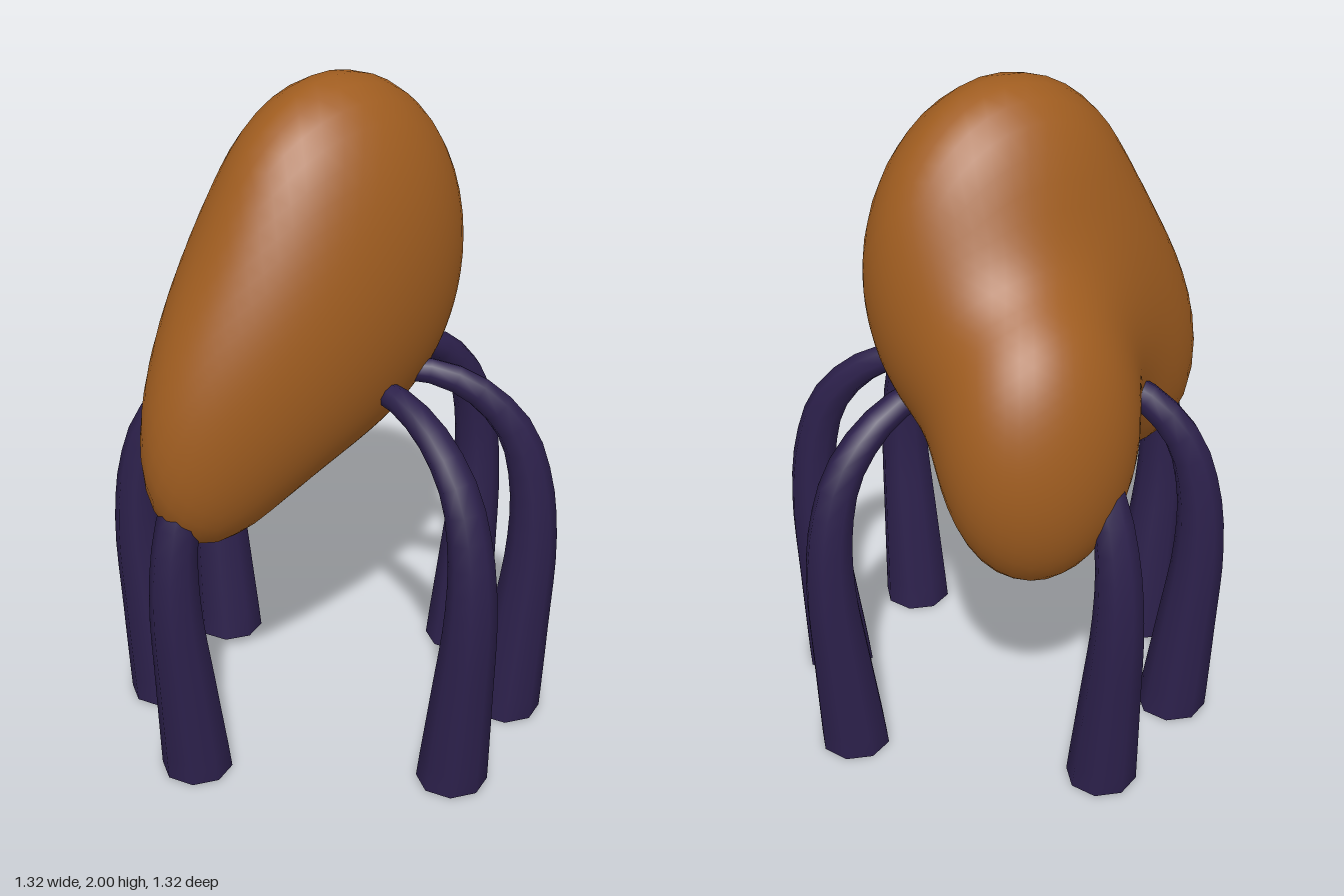
import * as THREE from 'three';
import { mergeVertices } from 'three/addons/utils/BufferGeometryUtils.js';

const V = (x, y, z) => new THREE.Vector3(x, y, z);

// Ellipsoids that melt together into the body: centre, radii, tilt about z
const lobes = [
  { c: V(0, 1.475, 0), r: V(0.415, 0.525, 0.28), tilt: 0 },
  { c: V(-0.385, 1.085, -0.01), r: V(0.245, 0.355, 0.175), tilt: -0.3 },
  { c: V(0.135, 1.08, -0.385), r: V(0.268, 0.38, 0.213), tilt: 0 },
];

function lobeDistance(p, { c, r, tilt }) {
  const q = p.clone().sub(c).applyAxisAngle(V(0, 0, 1), -tilt).divide(r);
  const k = q.length();
  return k * (k - 1) / Math.max(q.divide(r).length(), 1e-6);
}

// Smooth union of all lobes
function bodyDistance(p) {
  const blend = 0.36;
  return lobes.map(l => lobeDistance(p, l)).reduce((a, b) => {
    const h = Math.max(blend - Math.abs(a - b), 0) / blend;
    return Math.min(a, b) - h * h * blend / 4;
  });
}

function smooth(geometry) {
  geometry.deleteAttribute('uv');
  geometry.deleteAttribute('normal');
  const merged = mergeVertices(geometry, 1e-4);
  merged.computeVertexNormals();
  return merged;
}

// Sphere whose vertices are pulled onto the blended surface
function bodyGeometry() {
  const geo = new THREE.IcosahedronGeometry(1, 14);
  const pos = geo.attributes.position;
  const centre = V(-0.04, 1.2, -0.1);
  const dir = V(0, 0, 0), p = V(0, 0, 0);
  const at = t => bodyDistance(p.copy(dir).multiplyScalar(t).add(centre));
  for (let i = 0; i < pos.count; i++) {
    dir.fromBufferAttribute(pos, i).normalize();
    let hi = 1.1;
    while (hi > 0.04 && at(hi - 0.02) > 0) hi -= 0.02;
    let lo = hi - 0.02;
    for (let n = 0; n < 14; n++) {
      const mid = (lo + hi) / 2;
      if (at(mid) > 0) hi = mid; else lo = mid;
    }
    at(hi);
    pos.setXYZ(i, p.x, p.y, p.z);
  }
  return smooth(geo);
}

// Tapered eight-sided tube, arching outward and then down to the ground
function legGeometry() {
  const path = new THREE.CatmullRomCurve3([
    V(0.2, 1.14, 0), V(0.3, 1.13, 0), V(0.42, 1.07, 0), V(0.525, 0.95, 0),
    V(0.575, 0.78, 0), V(0.585, 0.58, 0), V(0.56, 0.3, 0), V(0.53, 0, 0),
  ]);
  const rings = 18, sides = 8;
  const geo = new THREE.TubeGeometry(path, rings, 1, sides);
  const pos = geo.attributes.position, v = V(0, 0, 0);
  for (let i = 0; i <= rings; i++) {
    const centre = path.getPointAt(i / rings);
    const radius = 0.034 + 0.07 * i / rings;
    for (let j = 0; j <= sides; j++) {
      const n = i * (sides + 1) + j;
      v.fromBufferAttribute(pos, n).sub(centre).multiplyScalar(radius).add(centre);
      pos.setXYZ(n, v.x, i === rings ? 0 : v.y, v.z);
    }
  }
  return smooth(geo);
}

export function createModel() {
  const model = new THREE.Group();
  model.name = 'leggedCreature';
  const skin = new THREE.MeshStandardMaterial({ color: 0xa05d20 });
  skin.name = 'orange brown skin';
  const legSkin = new THREE.MeshStandardMaterial({ color: 0x2c204b });
  legSkin.name = 'dark purple';

  const add = (parent, name, geo, mat) => {
    const mesh = new THREE.Mesh(geo, mat);
    mesh.name = name;
    parent.add(mesh);
    return mesh;
  };

  add(model, 'body', bodyGeometry(), skin);

  const legGeo = legGeometry();
  const tipGeo = new THREE.SphereGeometry(0.034, 8, 6);
  const soleGeo = new THREE.CircleGeometry(0.104, 8).rotateX(Math.PI / 2);

  // Six legs, with the front-right and back-left diagonals left empty
  for (const degrees of [0, 90, 135, 180, -90, -45]) {
    const leg = new THREE.Group();
    leg.name = 'leg';
    add(leg, 'legTube', legGeo, legSkin);
    add(leg, 'legTip', tipGeo, legSkin).position.set(0.2, 1.14, 0);
    add(leg, 'sole', soleGeo, legSkin).position.set(0.53, 0, 0);
    leg.rotation.y = THREE.MathUtils.degToRad(degrees);
    model.add(leg);
  }
  return model;
}
